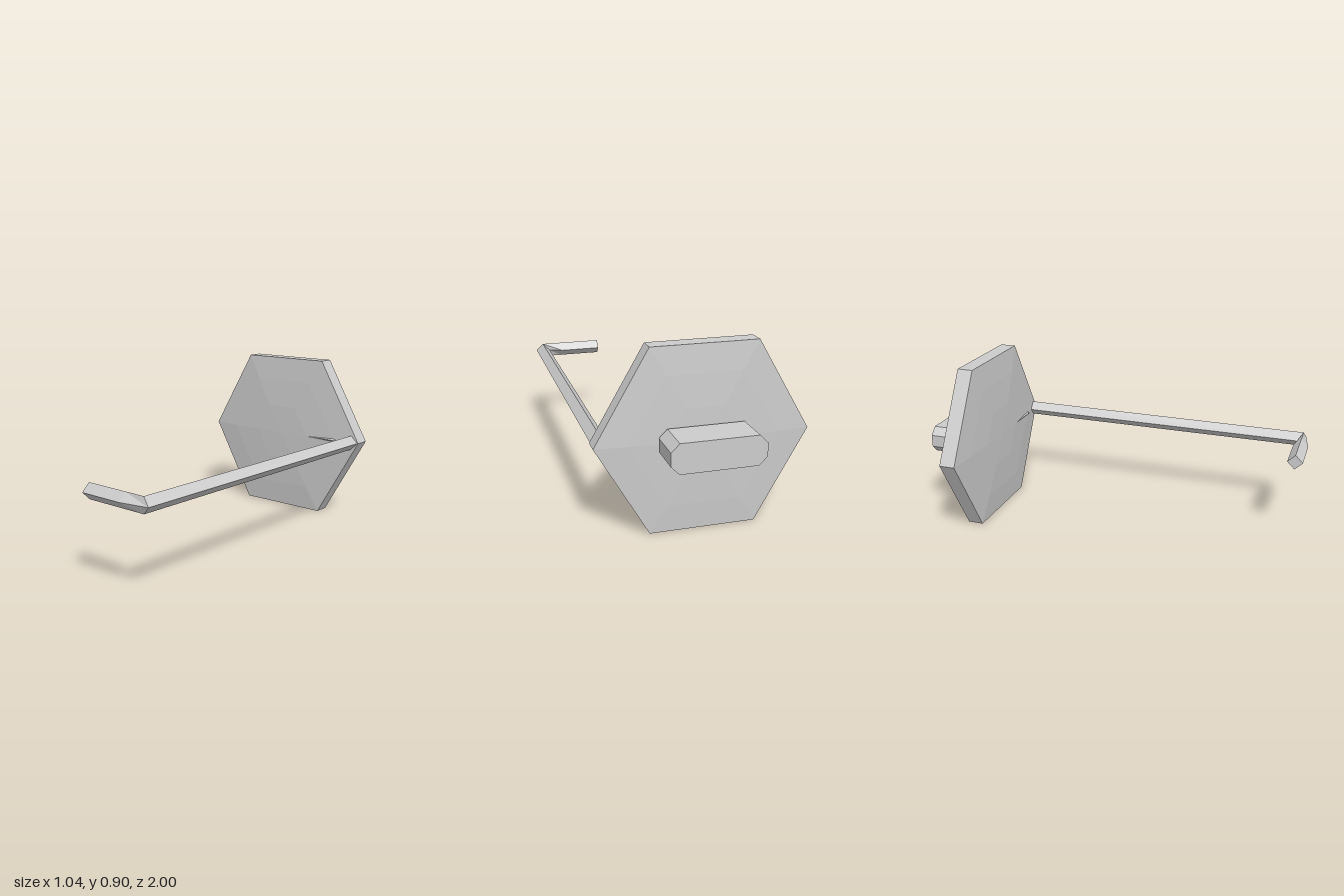
import * as THREE from 'three';

const CY = 0.45; // height of the main axis

// Diamond-section bar swept through a list of stations.
// Each station gives the [x, z] of its outer, middle and inner edge.
function diamondBar(stations, half) {
  const rings = stations.map(([o, m, i]) => [
    [o[0], CY, o[1]],
    [m[0], CY - half, m[1]],
    [i[0], CY, i[1]],
    [m[0], CY + half, m[1]],
  ]);
  const pos = [];
  const quad = (a, b, c, d) => pos.push(...a, ...b, ...c, ...a, ...c, ...d);
  for (let s = 0; s < rings.length - 1; s++) {
    for (let k = 0; k < 4; k++) {
      const n = (k + 1) % 4;
      quad(rings[s][k], rings[s][n], rings[s + 1][n], rings[s + 1][k]);
    }
  }
  const first = rings[0], last = rings[rings.length - 1];
  quad(first[3], first[2], first[1], first[0]);
  quad(last[0], last[1], last[2], last[3]);
  const g = new THREE.BufferGeometry();
  g.setAttribute('position', new THREE.Float32BufferAttribute(pos, 3));
  g.computeVertexNormals();
  return g;
}

export function createModel() {
  const group = new THREE.Group();
  const grey = new THREE.MeshStandardMaterial({ color: 0xcccccc });
  grey.name = 'light grey';

  const add = (name, geometry) => {
    const mesh = new THREE.Mesh(geometry, grey);
    mesh.name = name;
    group.add(mesh);
    return mesh;
  };

  // Hexagonal disc, gently domed on both faces
  const R = 0.52;
  const steps = [0, 0.35, 0.7, 1];
  const back = steps.map((t) => new THREE.Vector2(R * t, -0.805 + 0.02 * t * t));
  const front = steps.map((t) => new THREE.Vector2(R * t, -0.677 - 0.023 * t * t)).reverse();
  const disc = new THREE.LatheGeometry([...back, ...front], 6, Math.PI / 2)
    .rotateX(Math.PI / 2).translate(0, CY, 0).toNonIndexed();
  disc.computeVertexNormals();
  add('hexagonDisc', disc);

  // Crank: grip, long shaft and the arm sunk into the disc
  const h = 0.04;
  add('crank', diamondBar([
    [[0.125, 0.998], [0.125, 0.957], [0.125, 0.916]],
    [[0.36, 0.998], [0.36, 0.957], [0.36, 0.916]],
    [[0.515, 0.97], [0.475, 0.957], [0.435, 0.942]],
    [[0.515, -0.735], [0.475, -0.72], [0.435, -0.705]],
    [[0.36, -0.76], [0.36, -0.72], [0.36, -0.68]],
    [[0.1, -0.76], [0.1, -0.72], [0.1, -0.68]],
  ], h));

  // Chamfered block behind the disc
  const w = 0.225, b = 0.0725, c = 0.04;
  const outline = new THREE.Shape([
    [w, -b + c], [w, b - c], [w - c, b], [-w + c, b],
    [-w, b - c], [-w, -b + c], [-w + c, -b], [w - c, -b],
  ].map(([x, y]) => new THREE.Vector2(x, y)));
  add('rearBlock', new THREE.ExtrudeGeometry(outline, { depth: 0.185, bevelEnabled: false }))
    .position.set(0, CY + 0.002, -1);

  return group;
}
